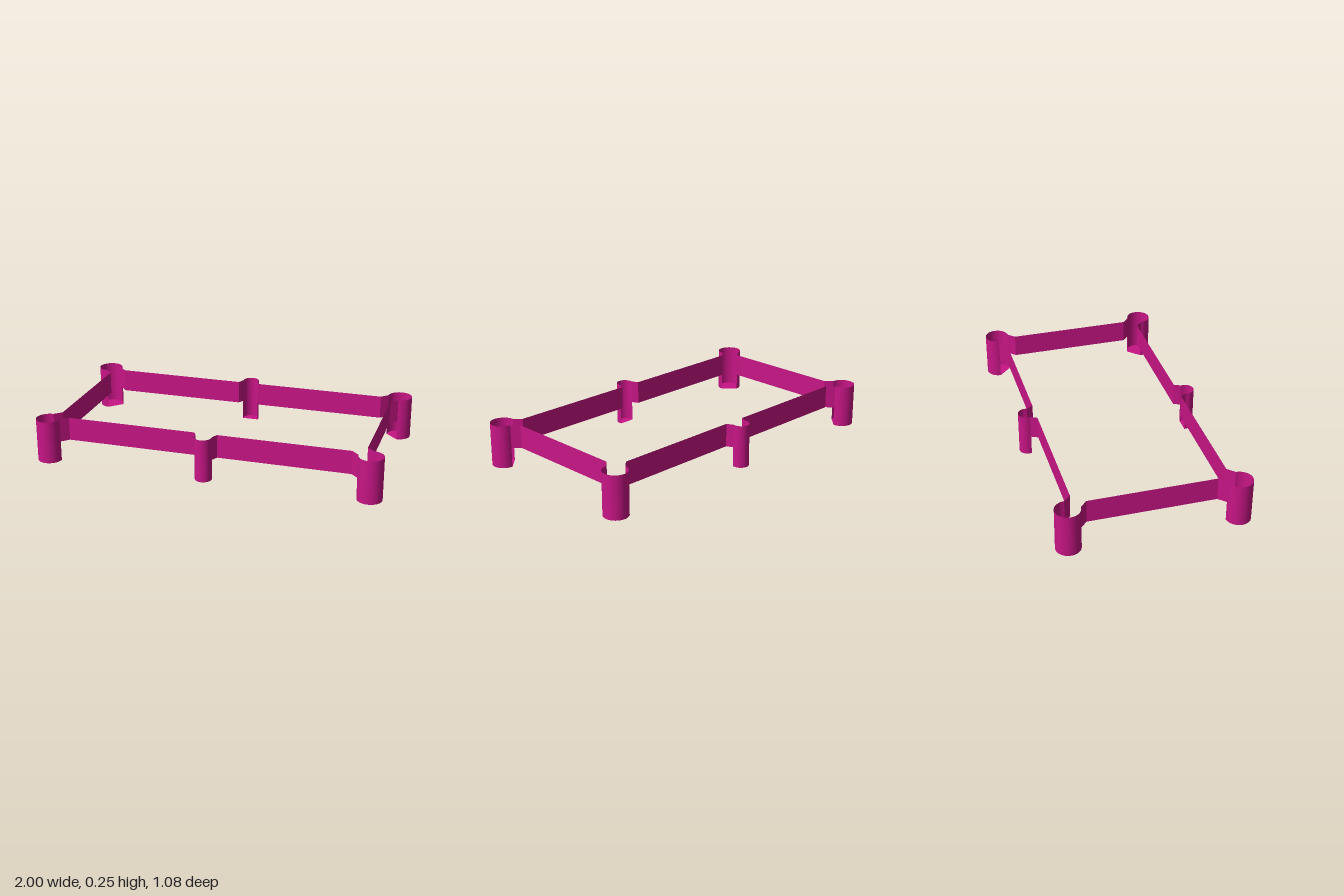
import * as THREE from 'three';

const TOP = 0.25, RAIL_BOTTOM = 0.115;
const POST = { x: 0.93, z: 0.47, r: 0.07 };           // corner pocket legs
const MID = { z: 0.482, r: 0.047, inner: 0.467 };     // middle pocket legs
const RAIL_Z = 0.43, RAIL_X = 0.89;                   // planes of the long and short rails
const END_X = 0.82, END_Z = 0.36, MID_X = 0.065;      // where rails stop and jaws begin

export function createModel() {
  const model = new THREE.Group();
  model.name = 'tableFrame';
  const material = new THREE.MeshStandardMaterial({ color: 0xc71585, side: THREE.DoubleSide });

  const add = (parent, name, geometry) => {
    const mesh = new THREE.Mesh(geometry, material);
    mesh.name = name;
    parent.add(mesh);
    return mesh;
  };

  // Thin upright sheet between two plan points
  const panel = (parent, name, [x1, z1], [x2, z2], y0 = RAIL_BOTTOM) => {
    const dx = x2 - x1, dz = z2 - z1;
    const mesh = add(parent, name, new THREE.PlaneGeometry(Math.hypot(dx, dz), TOP - y0));
    mesh.position.set((x1 + x2) / 2, (TOP + y0) / 2, (z1 + z2) / 2);
    mesh.rotation.y = -Math.atan2(dz, dx);
  };

  // Open-topped leg: an arc of wall around the outward direction, plus a floor
  const leg = (name, x, z, r, facing, sweep, extra = []) => {
    const group = new THREE.Group();
    group.name = name;
    model.add(group);
    const start = facing - sweep / 2, n = 36;
    const wall = add(group, 'legWall', new THREE.CylinderGeometry(r, r, TOP, n, 1, true, start, sweep));
    wall.position.set(x, TOP / 2, z);
    const outline = [];
    for (let i = 0; i <= n; i++) {
      const a = start + (sweep * i) / n;
      outline.push(new THREE.Vector2(x + r * Math.sin(a), -(z + r * Math.cos(a))));
    }
    extra.forEach(([ex, ez]) => outline.push(new THREE.Vector2(ex, -ez)));
    add(group, 'legFloor', new THREE.ShapeGeometry(new THREE.Shape(outline)).rotateX(-Math.PI / 2));
    return group;
  };

  for (const sz of [1, -1]) {
    const end = sz > 0 ? 'front' : 'back';

    // Middle leg: half round with short straight sides
    const right = Math.sin(sz > 0 ? Math.PI / 2 : Math.PI * 1.5) * MID.r;
    const mid = leg(end + 'MiddleLeg', 0, sz * MID.z, MID.r, sz > 0 ? 0 : Math.PI, Math.PI,
      [[right, sz * MID.inner], [-right, sz * MID.inner]]);

    for (const sx of [1, -1]) {
      const corner = end + (sx > 0 ? 'Left' : 'Right');
      const p = (x, z) => [sx * x, sz * z];

      panel(mid, 'legSide', p(MID.r, MID.z), p(MID.r, MID.inner), 0);

      // Corner leg: three quarters round, open towards the middle of the table
      leg(corner + 'Leg', sx * POST.x, sz * POST.z, POST.r, Math.atan2(sx, sz), Math.PI * 1.5);

      // Long rail and the slanted jaws beside the pockets
      panel(model, corner + 'Rail', p(MID_X, RAIL_Z), p(END_X, RAIL_Z));
      panel(model, corner + 'MiddleJaw', p(MID.r, MID.inner), p(MID_X, RAIL_Z));
      panel(model, corner + 'LongJaw', p(END_X, RAIL_Z), p(POST.x - POST.r, POST.z));
      panel(model, corner + 'ShortJaw', p(RAIL_X, END_Z), p(POST.x, POST.z - POST.r));
    }
  }

  // Short rails
  for (const sx of [1, -1]) {
    panel(model, sx > 0 ? 'leftRail' : 'rightRail', [sx * RAIL_X, END_Z], [sx * RAIL_X, -END_Z]);
  }
  return model;
}
